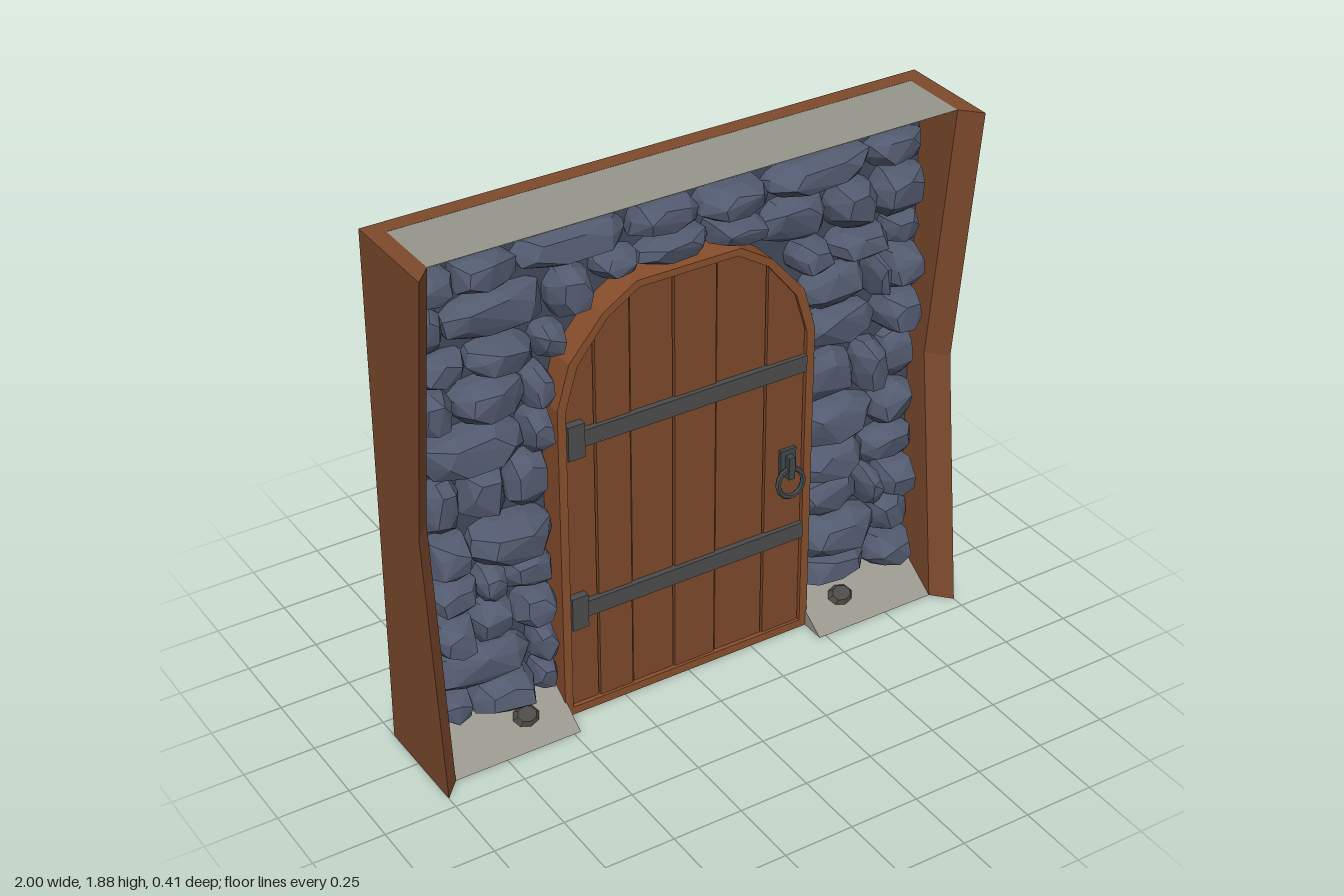
import * as THREE from 'three';
import { ConvexGeometry } from 'three/addons/geometries/ConvexGeometry.js';

const mat = (name, color) => Object.assign(new THREE.MeshStandardMaterial({ color }), { name });

// Right half of the arch, from the floor to the flat top
const OUTER = [[0.48, 0], [0.48, 1.19], [0.435, 1.345], [0.31, 1.49], [0.19, 1.565]];
const INNER = [[0.45, 0.03], [0.45, 1.18], [0.405, 1.33], [0.295, 1.468], [0.18, 1.54]];

const archPoints = (half) => [
  ...half.map(([x, y]) => new THREE.Vector2(x, y)),
  ...half.slice().reverse().map(([x, y]) => new THREE.Vector2(-x, y)),
];

// Height of the door opening at x
function archTop(x) {
  const a = Math.abs(x);
  for (let i = INNER.length - 1; i > 1; i--) {
    const [xa, ya] = INNER[i], [xb, yb] = INNER[i - 1];
    if (a <= xa) return ya;
    if (a <= xb) return ya + ((yb - ya) * (a - xa)) / (xb - xa);
  }
  return INNER[1][1];
}

// Half width of the frame at height y
function archEdge(y) {
  for (let i = 1; i < OUTER.length; i++) {
    const [xa, ya] = OUTER[i - 1], [xb, yb] = OUTER[i];
    if (y <= yb) return xa + ((xb - xa) * (y - ya)) / (yb - ya);
  }
  return 0;
}

let seed = 11;
const rand = (a = 0, b = 1) => {
  seed = (seed * 16807) % 2147483647;
  return a + ((b - a) * seed) / 2147483647;
};

function extrude(points, z0, z1, hole) {
  const shape = new THREE.Shape(points);
  if (hole) shape.holes.push(new THREE.Path(hole));
  const g = new THREE.ExtrudeGeometry(shape, { depth: z1 - z0, bevelEnabled: false });
  return g.translate(0, 0, z0);
}

const rect = (x, y0, y1) => [[-x, y0], [x, y0], [x, y1], [-x, y1]].map((p) => new THREE.Vector2(...p));
const hull = (pts) => new ConvexGeometry(pts.map((p) => new THREE.Vector3(...p)));

function faceted(g) {
  const f = g.toNonIndexed();
  f.computeVertexNormals();
  return f;
}

// Chiselled stone: three shrinking, jittered rings under one hull
function stoneGeometry(w, h, front) {
  const pts = [];
  const rings = [[1, -0.09, 9], [0.96, front * 0.45 - 0.025, 9], [0.64, front, 6]];
  for (const [scale, z, n] of rings) {
    const turn = rand(0, 1);
    for (let i = 0; i < n; i++) {
      const a = turn + (i / n) * Math.PI * 2;
      const k = (scale * rand(0.88, 1.04)) / Math.pow(Math.cos(a) ** 4 + Math.sin(a) ** 4, 0.25);
      pts.push([(k * Math.cos(a) * w) / 2, (k * Math.sin(a) * h) / 2, z + (z > -0.08 ? rand(-0.018, 0.01) : 0)]);
    }
  }
  return hull(pts);
}

export function createModel() {
  const model = new THREE.Group();
  model.name = 'stoneDoorway';
  const wood = mat('wallWood', 0x7f4b2d);
  const frameWood = mat('frameWood', 0x884e2c);
  const plankWood = mat('plankWood', 0x7e492b);
  const stone = mat('blueStone', 0x525a6f);
  const mortar = mat('mortar', 0x434a5c);
  const slab = mat('paleSlab', 0x98968d);
  const iron = mat('iron', 0x4b4c4b);
  const darkIron = mat('darkIron', 0x40484a);
  const pebbleGrey = mat('pebbleGrey', 0x4c4a47);

  const add = (name, geometry, material, parent = model) => {
    const m = new THREE.Mesh(geometry, material);
    m.name = name;
    parent.add(m);
    return m;
  };
  const box = (name, material, x, y, z, w, h, d, parent) =>
    add(name, new THREE.BoxGeometry(w, h, d), material, parent).position.set(x, y, z);

  // Wall backing and mortar bed, both cut out for the door
  const opening = (bottom) => archPoints(OUTER).map((p) => new THREE.Vector2(p.x * 0.98, Math.max(p.y - 0.01, bottom)));
  add('backPanel', extrude(rect(0.94, 0, 1.88), -0.17, -0.11, opening(0.005)), wood);
  add('mortarBed', extrude(rect(0.94, 0.01, 1.8), -0.11, -0.05, opening(0.015)), mortar);

  // Side panels, waisted at mid height with a chamfered front
  for (const s of [-1, 1]) {
    for (const y of [0, 1.88]) {
      const pts = [];
      for (const [py, z] of [[y, 0.205], [0.94, 0.103]]) {
        pts.push([s, py, -0.17], [s, py, z], [s * 0.94, py, z - 0.065], [s * 0.94, py, -0.17]);
      }
      add(s > 0 ? 'leftPanel' : 'rightPanel', hull(pts), wood);
    }
  }

  // Sloped slabs above and below the stonework
  const wedge = (name, x0, x1, y, dy) => {
    const pts = [];
    for (const x of [x0, x1]) pts.push([x, y, -0.109], [x, y, 0.14], [x, y + dy, -0.048], [x, y + dy, -0.109]);
    add(name, hull(pts), slab);
  };
  wedge('topSlab', -0.94, 0.94, 1.88, -0.12);
  wedge('rightGroundSlab', -0.94, -0.475, 0, 0.125);
  wedge('leftGroundSlab', 0.475, 0.94, 0, 0.125);

  // Pebbles on the ground slabs
  for (const x of [-0.625, 0.625]) {
    const g = faceted(new THREE.CylinderGeometry(0.035, 0.056, 0.025, 8));
    const p = add('pebble', g, pebbleGrey);
    p.position.set(x, 0.068, 0.045);
    p.rotation.set(0.58, 0, 0);
    p.scale.z = 0.8;
  }

  // Stone courses: bottom, top, then relative widths on each side of the door
  const stones = new THREE.Group();
  stones.name = 'stones';
  model.add(stones);
  const layStone = (x, y, w, h) => {
    const depth = rand(0.015, 0.085);
    const m = add('stone', stoneGeometry(w * 1.06, h * 1.04, depth), stone, stones);
    m.position.set(x, y, 0);
    m.rotation.z = rand(-0.05, 0.05);
  };
  const course = (x0, x1, y0, y1, widths) => {
    const total = widths.reduce((a, b) => a + b);
    let x = x0;
    for (const part of widths) {
      const w = ((x1 - x0) * part) / total;
      layStone(x + w / 2, (y0 + y1) / 2, w, (y1 - y0) * rand(0.88, 1));
      x += w;
    }
  };
  const courses = [
    [0.11, 0.23, [3, 5, 2], [6, 4]],
    [0.22, 0.38, [8, 2], [6, 3]],
    [0.38, 0.53, [3, 3, 3], [5, 1.5, 3]],
    [0.53, 0.67, [3, 2, 3], [5, 4]],
    [0.66, 0.84, [3, 6], [6, 3.5]],
    [0.84, 1.04, [2.6, 3.2, 3], [4, 2.2, 2.8]],
    [1.04, 1.2, [7, 2], [6, 3.5]],
    [1.2, 1.36, [2.5, 5, 2], [5, 1.2, 3]],
    [1.36, 1.48, [3.5, 4.5, 2], [3, 4.5, 3]],
    [1.48, 1.65, [2, 7.5, 3], [5, 3.5, 4]],
  ];
  for (const [y0, y1, right, left] of courses) {
    const e = archEdge(y0);
    course(-0.93, -e, y0, y1, right);
    course(e, 0.93, y0, y1, left);
  }
  course(-0.3, 0.3, 1.56, 1.66, [3, 5, 4]);
  course(-0.93, 0.93, 1.65, 1.78, [2.6, 4, 7.5, 4.5, 4.5, 7.5, 4]);

  // Door frame running through the wall, with its sill
  add('doorFrame', extrude(archPoints(OUTER), -0.205, 0.05, archPoints(INNER)), frameWood);

  // Planks with slightly uneven faces over a thin core
  const door = new THREE.Group();
  door.name = 'door';
  model.add(door);
  add('doorCore', extrude(archPoints(INNER), 0.012, 0.024), plankWood, door);
  const seams = [-0.45, -0.34, -0.21, -0.05, 0.11, 0.3, 0.45];
  const breaks = [-0.405, -0.295, -0.18, 0.18, 0.295, 0.405];
  for (let i = 0; i < seams.length - 1; i++) {
    const a = seams[i] + 0.003, b = seams[i + 1] - 0.003;
    const xs = [b, ...breaks.filter((x) => x > a && x < b).reverse(), a];
    const pts = [[a, 0.03], [b, 0.03], ...xs.map((x) => [x, archTop(x)])].map((p) => new THREE.Vector2(...p));
    const step = (i % 2) * 0.005;
    add('plank', extrude(pts, 0 + step, 0.034 + step), plankWood, door);
  }

  // Hinge straps, showing on both faces of the door
  for (const y of [0.41, 1.065]) {
    box('hingeStrap', iron, 0, y, 0.017, 0.9, 0.06, 0.076, door);
    box('hingePlate', iron, -0.42, y, 0.017, 0.06, 0.125, 0.09, door);
  }

  // Ring handle on each face
  for (const s of [-1, 1]) {
    const handle = new THREE.Group();
    handle.name = s > 0 ? 'frontHandle' : 'backHandle';
    handle.position.set(0.387, 0, 0.018 + s * 0.026);
    door.add(handle);
    box('handlePlate', darkIron, 0, 0.705, 0, 0.06, 0.095, 0.018, handle);
    box('handleLoop', darkIron, 0, 0.69, s * 0.018, 0.024, 0.085, 0.028, handle);
    const ring = add('handleRing', faceted(new THREE.TorusGeometry(0.05, 0.01, 6, 14)), darkIron, handle);
    ring.position.set(0, 0.632, s * 0.024);
    ring.rotation.x = -s * 0.15;
  }

  return model;
}
